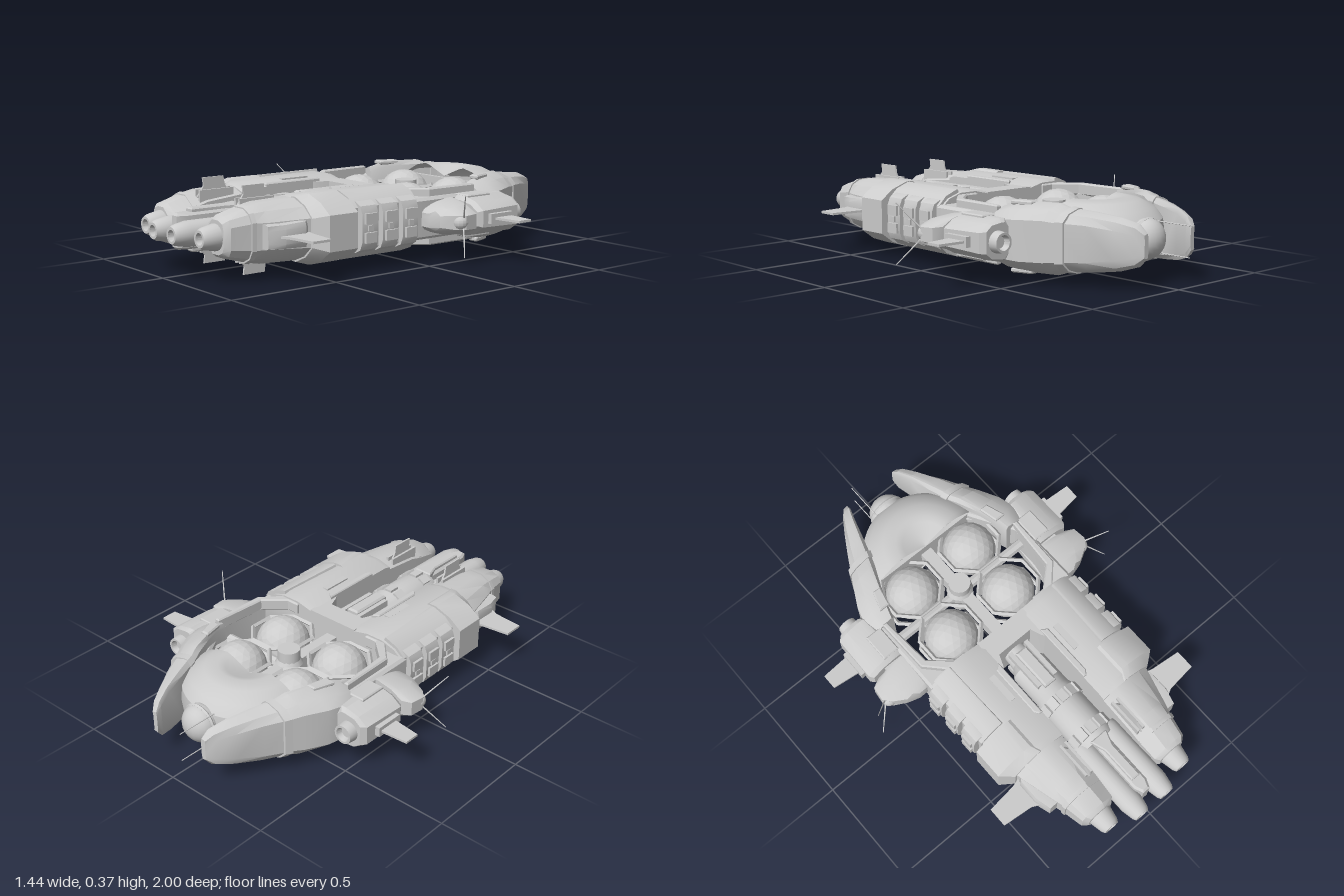
import * as THREE from 'three';
import { toCreasedNormals } from 'three/addons/utils/BufferGeometryUtils.js';

const MID = 0.185; // height of the ship's horizontal symmetry plane

export function createModel() {
  const ship = new THREE.Group();
  ship.name = 'spaceship';
  const grey = new THREE.MeshStandardMaterial({ color: 0xcccccc, side: THREE.DoubleSide });

  // Copy a geometry reflected in x or y, keeping its faces outward.
  const reflect = (geo, sx, sy) => {
    const g = geo.clone().scale(sx, sy, 1);
    const p = g.attributes.position;
    if (sx * sy < 0) for (let i = 0; i < p.count; i += 3) {
      const a = new THREE.Vector3().fromBufferAttribute(p, i);
      const b = new THREE.Vector3().fromBufferAttribute(p, i + 1);
      p.setXYZ(i, b.x, b.y, b.z);
      p.setXYZ(i + 1, a.x, a.y, a.z);
    }
    return g;
  };
  // Geometry is authored around y = 0 and lifted to MID; sym may hold 'x' and 'y'.
  const add = (name, geo, sym = '', crease = 0.5) => {
    const base = geo.index ? geo.toNonIndexed() : geo;
    base.deleteAttribute('uv');
    for (const sx of sym.includes('x') ? [1, -1] : [1])
      for (const sy of sym.includes('y') ? [1, -1] : [1]) {
        const mesh = new THREE.Mesh(toCreasedNormals(reflect(base, sx, sy), crease), grey);
        mesh.name = name + (sym.includes('x') ? (sx > 0 ? 'Left' : 'Right') : '') +
          (sym.includes('y') ? (sy > 0 ? 'Upper' : 'Lower') : '');
        mesh.position.y = MID;
        ship.add(mesh);
      }
  };
  const box = (x0, x1, y0, y1, z0, z1) => new THREE.BoxGeometry(x1 - x0, y1 - y0, z1 - z0)
    .translate((x0 + x1) / 2, (y0 + y1) / 2, (z0 + z1) / 2);
  // Solid of revolution along z from [radius, z] pairs.
  const turned = (pts, x, n = 20) => new THREE.LatheGeometry(
    pts.map(([r, z]) => new THREE.Vector2(r, z)), n).rotateX(Math.PI / 2).translate(x, 0, 0);
  // Flat plate from [x, z] outline, between two heights.
  const plate = (pts, y0, y1, bevel = 0) => new THREE.ExtrudeGeometry(
    new THREE.Shape(pts.map(([x, z]) => new THREE.Vector2(x, -z))),
    { depth: y1 - y0 - 2 * bevel, bevelEnabled: bevel > 0, bevelSize: bevel, bevelThickness: bevel,
      bevelOffset: -bevel, bevelSegments: 1 }).rotateX(-Math.PI / 2).translate(0, y0 + bevel, 0);
  // Closed skin over rings of equal point count, wound outward.
  const loft = (rings) => {
    const n = rings[0].length, pos = rings.flat(2), idx = [], last = (rings.length - 1) * n;
    for (let r = 0; r < rings.length - 1; r++) for (let i = 0; i < n; i++) {
      const a = r * n + i, b = r * n + (i + 1) % n;
      idx.push(a, b, b + n, a, b + n, a + n);
    }
    for (let i = 1; i < n - 1; i++) idx.push(0, i + 1, i, last, last + i, last + i + 1);
    const v = (k) => new THREE.Vector3(...pos.slice(3 * k, 3 * k + 3));
    let vol = 0;
    for (let i = 0; i < idx.length; i += 3) vol += v(idx[i]).dot(v(idx[i + 1]).cross(v(idx[i + 2])));
    const g = new THREE.BufferGeometry();
    g.setAttribute('position', new THREE.Float32BufferAttribute(pos, 3));
    g.setIndex(vol < 0 ? idx.reverse() : idx);
    return g;
  };
  // Hull section: inner wall xi, deck edge xm, outer wall xo, half height h, outer half height s, inner drop d.
  const section = ([z, xi, xm, xo, h, s, d = 0.02]) => {
    const top = [[xi, h - d], [xi + (xm - xi) * 0.5, h], [xm, h], [(xm + xo) / 2 + 0.01, (h + s) / 2 + 0.008], [xo, s]];
    return [...top, ...top.map(([x, y]) => [x, -y]).reverse()].map(([x, y]) => [x, y, z]);
  };
  const rod = (a, b, r0, r1 = r0, n = 6) => {
    const p = new THREE.Vector3(...a), q = new THREE.Vector3(...b), d = q.clone().sub(p);
    return new THREE.CylinderGeometry(r1, r0, d.length(), n)
      .applyQuaternion(new THREE.Quaternion().setFromUnitVectors(new THREE.Vector3(0, 1, 0), d.normalize()))
      .translate(...p.add(q).multiplyScalar(0.5).toArray());
  };

  // Twin forward hulls with tapering noses
  add('mainHull', loft([[-0.02, 0.12, 0.29, 0.4, 0.132, 0.075], [0.02, 0.12, 0.29, 0.4, 0.14, 0.08],
    [0.5, 0.12, 0.27, 0.4, 0.14, 0.075], [0.53, 0.12, 0.26, 0.38, 0.13, 0.065]].map(section)), 'x');
  add('noseHull', loft([[0.53, 0.12, 0.26, 0.375, 0.13, 0.06, 0.03], [0.7, 0.12, 0.25, 0.33, 0.124, 0.055, 0.04],
    [0.76, 0.12, 0.25, 0.312, 0.112, 0.055, 0.045], [0.86, 0.125, 0.24, 0.292, 0.085, 0.045, 0.04],
    [0.88, 0.145, 0.23, 0.27, 0.07, 0.03, 0.04]].map(section)), 'x');
  add('noseBand', loft([[0.755, 0.122, 0.255, 0.318, 0.118, 0.058, 0.045], [0.775, 0.122, 0.253, 0.316, 0.113, 0.057, 0.045]]
    .map(section)), 'x');
  add('hullBridge', plate([[-0.13, -0.02], [0.13, -0.02], [0.13, 0.16], [0.11, 0.13], [0.09, 0.08],
    [-0.09, 0.08], [-0.11, 0.13], [-0.13, 0.16]], -0.12, 0.12));
  add('deckRail', plate([[0.12, 0.11], [0.15, 0.13], [0.15, 0.38], [0.135, 0.4], [0.12, 0.4]], 0.11, 0.135, 0.005), 'xy');
  add('deckHatch', box(0.17, 0.2, 0.12, 0.14, 0.14, 0.28), 'xy');

  // Sloping side armour and ribbed cargo panels
  add('sideArmour', loft([[0.34, 0.23, 0.3, 0.442, 0.148, 0.075], [0.485, 0.23, 0.3, 0.442, 0.148, 0.075],
    [0.53, 0.22, 0.27, 0.385, 0.135, 0.06]].map(section)), 'x');
  add('shoulderArmour', loft([[-0.01, 0.29, 0.305, 0.405, 0.147, 0.085], [0.33, 0.28, 0.3, 0.405, 0.147, 0.085]].map(section)), 'x');
  for (let i = 0; i < 3; i++) {
    const z = 0.005 + i * 0.11;
    add('cargoPanel', loft([[z, 0.36, 0.385, 0.432, 0.108, 0.06], [z + 0.085, 0.36, 0.385, 0.432, 0.108, 0.06]].map(section)), 'x');
    for (const y of [-0.04, 0.04]) add('cargoRib', box(0.41, 0.443, y - 0.022, y + 0.022, z + 0.012, z + 0.073), 'x');
    add('panelClamp', box(0.41, 0.44, -0.012, 0.012, z + 0.03, z + 0.055), 'x');
  }

  // Four forward nozzles
  const nozzle = (z0, z1, r) => [[r * 0.9, z0], [r, z0 + 0.02], [r, z1 - 0.07], [r * 0.8, z1 - 0.015],
    [r * 0.65, z1], [r * 0.45, z1], [r * 0.4, z1 - 0.03], [0, z1 - 0.03]];
  add('innerNozzle', turned(nozzle(0.6, 1, 0.054), 0.072), 'x');
  add('outerNozzle', turned(nozzle(0.84, 0.955, 0.056), 0.208), 'x');

  // Central reactor in the slot between the hulls
  add('reactorCore', turned([[0, 0.07], [0.055, 0.08], [0.06, 0.14], [0.088, 0.18], [0.088, 0.34], [0.096, 0.36],
    [0.096, 0.6], [0.085, 0.64], [0, 0.65]], 0, 24));
  for (const z of [0.395, 0.58]) for (let i = 0; i < 12; i++)
    add('reactorClamp', box(-0.019, 0.019, 0.085, 0.105, z - 0.026, z + 0.026).rotateZ(i * Math.PI / 6));
  add('reactorBlock', plate([[-0.03, 0.12], [0.03, 0.12], [0.03, 0.32], [-0.03, 0.32]], 0.06, 0.108, 0.008), 'y');
  add('reactorFork', box(0.035, 0.055, 0.06, 0.1, 0.1, 0.3), 'xy');
  add('noseSpine', plate([[-0.035, 0.63], [0.035, 0.63], [0.035, 0.9], [0.018, 0.94], [-0.018, 0.94], [-0.035, 0.9]],
    -0.075, 0.075, 0.01));
  add('noseSpineCap', plate([[-0.045, 0.63], [0.045, 0.63], [0.022, 0.7], [0.022, 0.87], [-0.022, 0.87], [-0.022, 0.7]],
    0.06, 0.092, 0.006), 'y');

  // Vertical and horizontal fins
  const upright = new THREE.Shape([[0.57, 0.1], [0.74, 0.1], [0.705, 0.15], [0.71, 0.185], [0.605, 0.185], [0.6, 0.15]]
    .map(([z, y]) => new THREE.Vector2(-z, y)));
  add('verticalFin', new THREE.ExtrudeGeometry(upright, { depth: 0.008, bevelEnabled: false })
    .rotateY(Math.PI / 2).translate(0.146, 0, 0), 'xy');
  for (const x of [0.13, 0.159]) add('finSocket', box(x, x + 0.011, 0.08, 0.134, 0.565, 0.735), 'xy');
  add('frontFinBase', loft([[0.53, 0.28, 0.33, 0.36, 0.065, 0.035], [0.56, 0.28, 0.35, 0.385, 0.058, 0.03],
    [0.66, 0.28, 0.35, 0.385, 0.05, 0.03], [0.73, 0.28, 0.34, 0.36, 0.05, 0.025]].map(section)), 'x');
  add('frontFin', plate([[0.36, 0.53], [0.41, 0.545], [0.55, 0.56], [0.55, 0.65], [0.41, 0.665], [0.36, 0.69]], -0.005, 0.005), 'x');
  add('rearFin', plate([[0.56, -0.39], [0.72, -0.38], [0.72, -0.31], [0.56, -0.29]], -0.005, 0.005), 'x');

  // Open bay frame around the tanks
  const bay = [[0.41, 0], [0.25, 0], [0.345, -0.09], [0.365, -0.2], [0.365, -0.34], [0.33, -0.4], [0.24, -0.55], [0.34, -0.57], [0.41, -0.4]];
  add('bayFrame', plate(bay, -0.09, 0.09, 0.012), 'x');
  add('bayBrace', plate([[0.2, -0.01], [0.3, -0.01], [0.385, -0.1], [0.39, -0.36], [0.368, -0.36], [0.35, -0.11], [0.26, -0.03], [0.2, -0.03]],
    0.07, 0.125, 0.006), 'xy');

  // Four spherical tanks held in octagonal cradles
  for (const z of [-0.435, -0.16]) {
    add('tank', new THREE.IcosahedronGeometry(0.122, 3).translate(0.168, 0, z), 'x', 0.05);
    add('tankCradle', new THREE.TorusGeometry(0.143, 0.011, 4, 8).rotateZ(Math.PI / 8).rotateX(Math.PI / 2)
      .translate(0.17, 0.05, z), 'xy');
  }
  add('bayHub', new THREE.CylinderGeometry(0.05, 0.05, 0.21, 16).translate(0, 0, -0.3));
  add('bayHubCollar', new THREE.CylinderGeometry(0.035, 0.062, 0.05, 12).translate(0, 0.06, -0.3), 'y');
  add('bayKeel', box(-0.028, 0.028, -0.04, 0.04, -0.57, 0));
  add('bayCrossbar', rod([-0.37, 0, -0.3], [0.37, 0, -0.3], 0.024, 0.024, 8));

  // Rear dome: half a turned shell, dished at its centre and closed by a bulkhead
  const rim = [[0.1, 0.14], [0.13, 0.148], [0.19, 0.136], [0.25, 0.105], [0.285, 0.06], [0.292, 0]];
  const shell = [[0, 0.1], ...rim, ...rim.slice(0, 5).reverse().map(([r, y]) => [r, -y]), [0, -0.1]];
  add('rearDome', new THREE.LatheGeometry(shell.map(([r, y]) => new THREE.Vector2(r, -y)), 28, Math.PI / 2, Math.PI)
    .translate(0, 0, -0.54));
  add('domeBulkhead', box(-0.25, 0.25, -0.09, 0.09, -0.56, -0.54));

  // Tail sensor ball
  add('tailBall', new THREE.SphereGeometry(0.085, 20, 14).scale(1, 1, 0.85).translate(0, 0, -0.83));
  add('tailBallCollar', new THREE.TorusGeometry(0.082, 0.008, 5, 20).translate(0, 0, -0.835));
  add('tailAntenna', rod([-0.065, 0.065, -0.79], [-0.065, 0.065, -1], 0.003, 0.002), 'y');

  // Sweeping tail arms
  add('tailArm', loft([[-0.36, 0.33, 0.35, 0.435, 0.12, 0.06], [-0.43, 0.31, 0.33, 0.44, 0.14, 0.08],
    [-0.51, 0.28, 0.3, 0.418, 0.147, 0.085], [-0.6, 0.24, 0.275, 0.37, 0.147, 0.085], [-0.64, 0.225, 0.26, 0.348, 0.132, 0.08],
    [-0.75, 0.19, 0.22, 0.287, 0.122, 0.075], [-0.85, 0.16, 0.18, 0.228, 0.108, 0.06],
    [-0.92, 0.135, 0.15, 0.183, 0.085, 0.045], [-0.95, 0.13, 0.137, 0.152, 0.05, 0.025]].map(section)), 'x');
  add('armBand', loft([[-0.65, 0.215, 0.255, 0.35, 0.136, 0.085], [-0.68, 0.205, 0.245, 0.335, 0.133, 0.083]].map(section)), 'x');
  add('armPlate', plate([[0.31, -0.41], [0.36, -0.41], [0.33, -0.5], [0.29, -0.5]], 0.13, 0.151, 0.006), 'xy');

  // Outrigger pods: engine block behind, sensor nose ahead
  add('enginePod', loft([[-0.47, 0.43, 0.47, 0.55, 0.075, 0.045], [-0.45, 0.41, 0.46, 0.572, 0.088, 0.042],
    [-0.24, 0.37, 0.46, 0.575, 0.088, 0.036], [-0.22, 0.37, 0.45, 0.56, 0.07, 0.03]].map(section)), 'x');
  add('podSpine', box(0.56, 0.595, -0.022, 0.022, -0.4, -0.27), 'x');
  add('podPanel', plate([[0.4, -0.37], [0.48, -0.37], [0.48, -0.24], [0.4, -0.24]], 0.07, 0.094, 0.005), 'xy');
  add('podThruster', turned([[0.046, -0.44], [0.046, -0.48], [0.042, -0.51], [0.032, -0.51], [0.025, -0.485], [0, -0.485]], 0.492), 'x');
  add('podStrut', box(0.38, 0.5, -0.05, 0.05, -0.24, -0.16), 'x');
  add('sensorPod', loft([[-0.205, 0.38, 0.42, 0.55, 0.08, 0.035], [-0.185, 0.38, 0.43, 0.59, 0.08, 0.032],
    [-0.12, 0.38, 0.43, 0.598, 0.07, 0.03], [-0.085, 0.38, 0.43, 0.57, 0.06, 0.03],
    [-0.05, 0.38, 0.43, 0.51, 0.045, 0.025], [-0.035, 0.39, 0.43, 0.46, 0.03, 0.015]].map(section)), 'x');
  add('sensorBall', new THREE.SphereGeometry(0.036, 14, 10).translate(0.565, 0, -0.115), 'x');
  add('podAntenna', rod([0.58, 0.01, -0.12], [0.668, 0.13, -0.045], 0.004, 0.002), 'xy');
  return ship;
}
